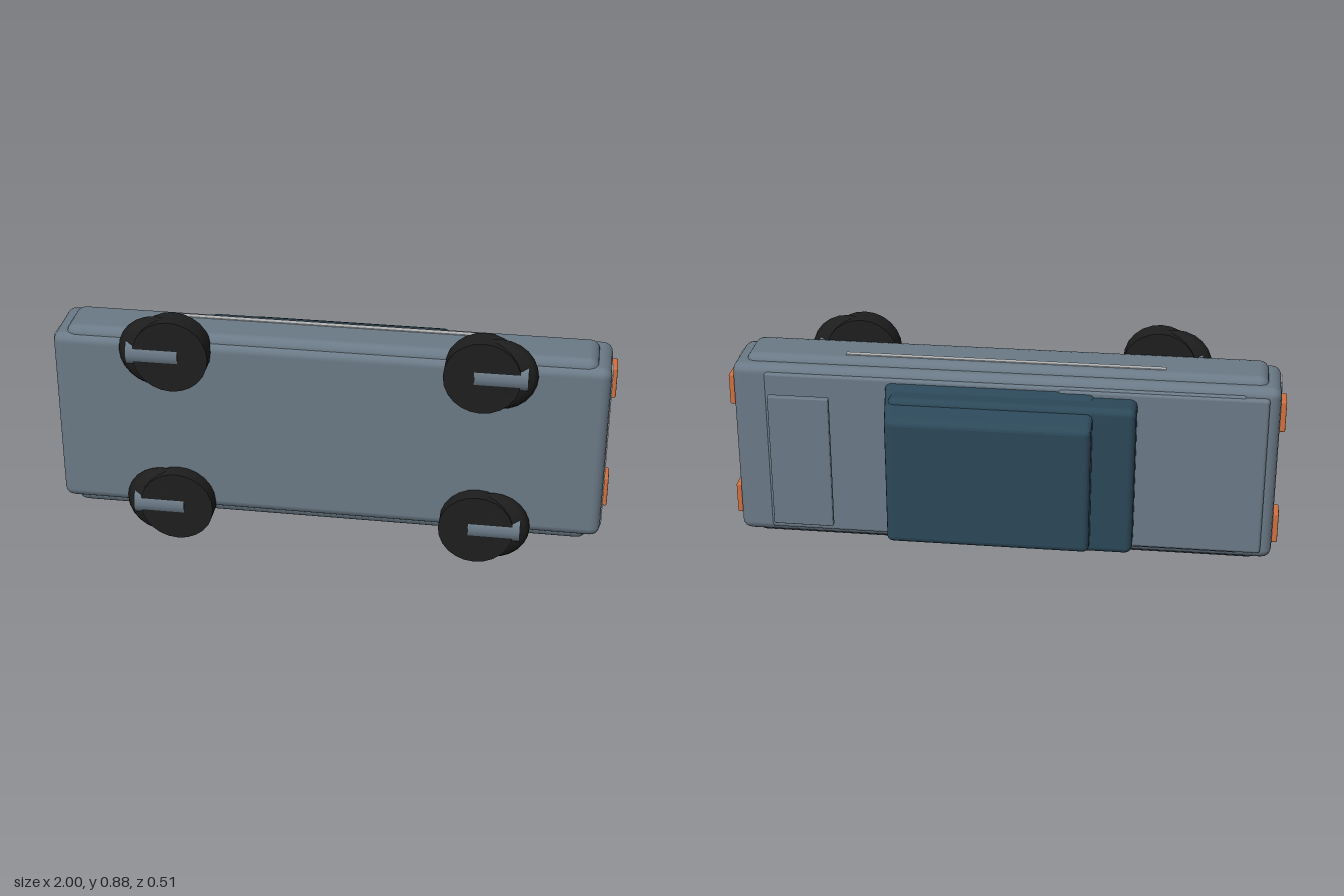
import * as THREE from 'three';
import { RoundedBoxGeometry } from 'three/addons/geometries/RoundedBoxGeometry.js';

const paint = (name, color) => {
  const m = new THREE.MeshStandardMaterial({ color });
  m.name = name;
  return m;
};

// The car rests on its side: its roof points to -z and its underside to +z.
const MID = 0.44; // height of the car's centre line

export function createModel() {
  const car = new THREE.Group();
  car.name = 'car';
  const body = paint('slate body', 0x6b7a87);
  const cabin = paint('dark blue cabin', 0x2c4858);
  const rubber = paint('black rubber', 0x1e1e1e);
  const lamp = paint('orange lamp', 0xd2713f);
  const trim = paint('light trim', 0xb2b4b6);

  const add = (name, geometry, material, parent = car) => {
    const mesh = new THREE.Mesh(geometry, material);
    mesh.name = name;
    parent.add(mesh);
    return mesh;
  };

  // Softened box given by its limits on each axis
  const block = (name, x, y, z, radius, material) => {
    const g = new RoundedBoxGeometry(x[1] - x[0], y[1] - y[0], z[1] - z[0], 2, radius);
    g.translate((x[0] + x[1]) / 2, (y[0] + y[1]) / 2, (z[0] + z[1]) / 2);
    return add(name, g, material);
  };

  // Hull, bulging flanks and raised panels
  block('hull', [-0.98, 0.98], [MID - 0.337, MID + 0.337], [-0.053, 0.193], 0.035, body);
  block('flanks', [-0.935, 0.935], [MID - 0.362, MID + 0.362], [-0.015, 0.177], 0.035, body);
  block('deckPanel', [-0.86, 0.86], [MID - 0.312, MID + 0.312], [-0.062, 0], 0.012, body);
  block('hoodPanel', [-0.94, -0.2], [MID - 0.305, MID + 0.305], [-0.07, 0], 0.012, body);

  // Cabin: low block and a roof block that tapers towards the top
  block('lowerCabin', [-0.48, 0.395], [MID - 0.284, MID + 0.284], [-0.17, -0.03], 0.025, cabin);
  const roof = block('upperCabin', [-0.33, 0.42], [MID - 0.3, MID + 0.3], [-0.255, -0.03], 0.022, cabin);
  const p = roof.geometry.attributes.position;
  for (let i = 0; i < p.count; i++) {
    const t = (-0.05 - p.getZ(i)) / 0.205;
    p.setY(i, MID + (p.getY(i) - MID) * (1 - 0.21 * t));
    if (p.getX(i) > 0) p.setX(i, p.getX(i) - 0.03 * t);
  }
  roof.geometry.computeVertexNormals();

  // Rear wing
  block('rearWing', [0.612, 0.832], [MID - 0.255, MID + 0.255], [-0.138, -0.113], 0.005, body);

  // Trim strips and lamps at both ends, and a strip along each flank
  for (const s of [-1, 1]) {
    const end = add('bumperStrip', new THREE.BoxGeometry(0.008, 0.615, 0.066), trim);
    end.position.set(s * 0.98, MID + 0.003, 0.116);
    const strip = add('sideStrip', new THREE.BoxGeometry(1.145, 0.008, 0.022), trim);
    strip.position.set(0, MID + s * 0.361, 0.033);
    for (const v of [-1, 1]) {
      const g = new RoundedBoxGeometry(0.03, 0.118, 0.078, 2, 0.006);
      add('lamp', g, lamp).position.set(s * 0.985, MID + v * 0.222, 0.02);
    }
  }

  // Wheels: a flat drum, a lens-shaped tyre beside it and a hub across both
  const lens = [[0, -0.043], [0.06, -0.043], [0.095, -0.033], [0.122, -0.018], [0.135, 0],
    [0.122, 0.018], [0.095, 0.033], [0.06, 0.043], [0, 0.043]];
  const drumGeometry = new THREE.CylinderGeometry(0.134, 0.134, 0.086, 24).rotateX(Math.PI / 2);
  const tyreGeometry = new THREE.LatheGeometry(
    lens.map(([r, h]) => new THREE.Vector2(r, h)), 24).rotateX(Math.PI / 2);
  const hubGeometry = new THREE.CylinderGeometry(0.055, 0.055, 0.185, 16).rotateZ(Math.PI / 2);
  for (const s of [-1, 1]) {
    for (const v of [-1, 1]) {
      const wheel = new THREE.Group();
      wheel.name = 'wheel';
      wheel.position.set(0, MID + v * 0.305, 0.207);
      add('drum', drumGeometry, rubber, wheel).position.x = s * 0.543;
      add('tyre', tyreGeometry, rubber, wheel).position.x = s * 0.598;
      const hub = add('hub', hubGeometry, body, wheel);
      hub.position.set(s * 0.608, 0, -0.006);
      car.add(wheel);
    }
  }
  return car;
}
